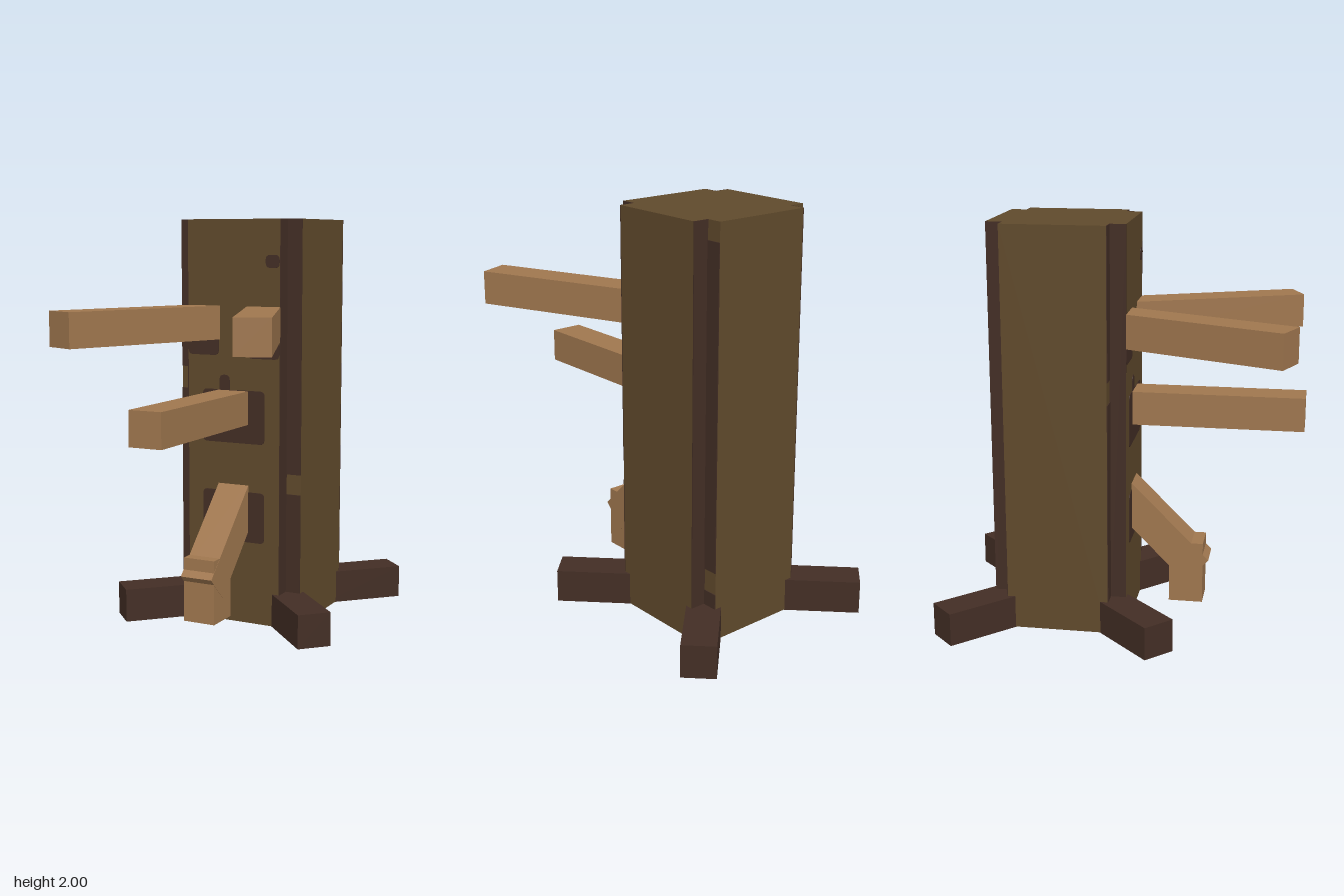
import * as THREE from 'three';

const mat = (name, color) => {
  const m = new THREE.MeshStandardMaterial({ color });
  m.name = name;
  return m;
};

export function createModel() {
  const trunkWood = mat('trunk brown', 0x604a2c);
  const armWood = mat('light wood', 0xa0774f);
  const darkWood = mat('dark wood', 0x432e25);

  const model = new THREE.Group();
  model.name = 'trainingPost';
  const H = 2, HALF = 0.33, NOTCH = 0.25, CZ = -0.29, FRONT = CZ + HALF, BEAM = 0.165, SKIN = 0.004;

  const add = (name, geo, material, x = 0, y = 0, z = 0) => {
    const mesh = new THREE.Mesh(geo, material);
    mesh.name = name;
    mesh.position.set(x, y, z);
    model.add(mesh);
    return mesh;
  };

  // Square beam running between two points
  const beam = (name, material, from, to) => {
    const a = new THREE.Vector3(...from), b = new THREE.Vector3(...to);
    const mesh = add(name, new THREE.BoxGeometry(BEAM, BEAM, a.distanceTo(b)), material);
    mesh.position.copy(a).add(b).multiplyScalar(0.5);
    mesh.lookAt(b);
    return mesh;
  };

  // Trunk: square post with a notch cut from each corner
  const outline = [];
  for (const [sx, sy] of [[1, 1], [-1, 1], [-1, -1], [1, -1]]) {
    const steps = [[HALF, NOTCH], [NOTCH, NOTCH], [NOTCH, HALF]];
    if (sx * sy < 0) steps.reverse();
    for (const [x, y] of steps) outline.push(new THREE.Vector2(sx * x, sy * y));
  }
  const trunkGeo = new THREE.ExtrudeGeometry(new THREE.Shape(outline), { depth: H - 0.002, bevelEnabled: false });
  trunkGeo.rotateX(-Math.PI / 2);
  add('trunk', trunkGeo, trunkWood, 0, 0.002, CZ);

  // Dark linings in the corner notches, with bare gaps in some of them
  const backGaps = [[0.24, 0.35], [1.91, 2]];
  const corners = [
    { sx: 1, sz: 1, zGaps: [[0.66, 0.76]], xGaps: [] },
    { sx: -1, sz: 1, zGaps: [[1.16, 1.27]], xGaps: [] },
    { sx: 1, sz: -1, zGaps: [], xGaps: backGaps },
    { sx: -1, sz: -1, zGaps: backGaps, xGaps: [] },
  ];
  const mid = (NOTCH + HALF) / 2, wide = HALF - NOTCH, out = NOTCH + SKIN / 2;
  const lining = (gaps, place) => {
    let y = 0.002;
    for (const [lo, hi] of [...gaps, [H, H]]) {
      if (lo - y > 0.001) place(lo - y, (lo + y) / 2);
      y = hi;
    }
  };
  for (const { sx, sz, zGaps, xGaps } of corners) {
    lining(zGaps, (h, y) =>
      add('notchLining', new THREE.BoxGeometry(wide, h, SKIN), darkWood, sx * mid, y, CZ + sz * out));
    lining(xGaps, (h, y) =>
      add('notchLining', new THREE.BoxGeometry(SKIN, h, wide), darkWood, sx * out, y, CZ + sz * mid));
  }

  // Dark worn patches on the front face: x0, x1, y0, y1
  const patches = [
    [-0.168, 0.17, 0.91, 1.172],
    [-0.168, 0.17, 0.415, 0.668],
    [-0.075, -0.02, 1.15, 1.245],
    [0.08, 0.248, 1.33, 1.5],
    [-0.248, -0.08, 1.34, 1.5],
    [0.175, 0.248, 1.768, 1.83],
  ];
  for (const [x0, x1, y0, y1] of patches) {
    const r = 0.024, s = new THREE.Shape();
    s.moveTo(x0 + r, y0);
    s.lineTo(x1 - r, y0).quadraticCurveTo(x1, y0, x1, y0 + r);
    s.lineTo(x1, y1 - r).quadraticCurveTo(x1, y1, x1 - r, y1);
    s.lineTo(x0 + r, y1).quadraticCurveTo(x0, y1, x0, y1 - r);
    s.lineTo(x0, y0 + r).quadraticCurveTo(x0, y0, x0 + r, y0);
    add('frontPatch', new THREE.ExtrudeGeometry(s, { depth: SKIN, bevelEnabled: false, curveSegments: 4 }),
      darkWood, 0, 0, FRONT - 0.001);
  }

  // Splayed upper arms and straight middle arm
  for (const s of [1, -1]) beam('upperArm', armWood, [s * 0.14, 1.5, -0.015], [s * 0.485, 1.5, 0.81]);
  beam('middleArm', armWood, [0, 1.087, -0.1], [0, 1.087, 0.876]);

  // Bent leg: sloping thigh and upright shin
  beam('thigh', armWood, [0, 0.685, -0.06], [0, 0.256, 0.369]);
  add('shin', new THREE.BoxGeometry(BEAM - 0.002, 0.312, 0.168), armWood, 0, 0.245, 0.315);

  // Diagonal feet
  for (const sx of [1, -1])
    for (const sz of [1, -1])
      beam('foot', darkWood, [sx * 0.22, BEAM / 2, CZ + sz * 0.22], [sx * 0.53, BEAM / 2, CZ + sz * 0.53]);

  return model;
}
